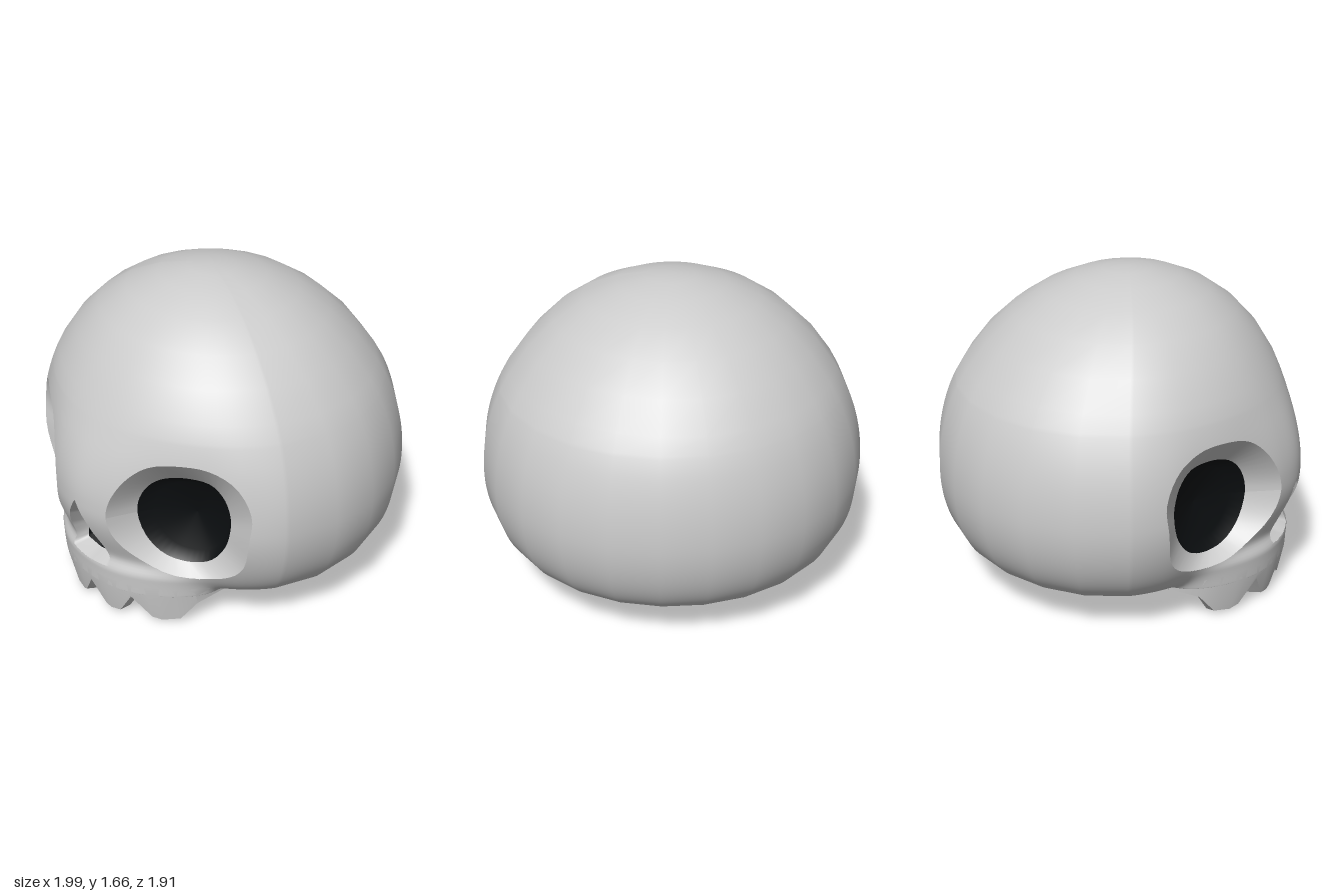
import * as THREE from 'three';
import { mergeVertices, toCreasedNormals } from 'three/addons/utils/BufferGeometryUtils.js';

const BASE = 0.18, MID = 0.64, TOP = 1.66;
const { smoothstep, lerp, clamp, degToRad } = THREE.MathUtils;
const bone = new THREE.MeshStandardMaterial({ color: 0xcccccc });
const boneThin = new THREE.MeshStandardMaterial({ color: 0xcccccc, side: THREE.DoubleSide });
const dark = new THREE.MeshStandardMaterial({ color: 0x0b0e10, side: THREE.DoubleSide });

// Smooth curve through (xs, ys)
function curve(xs, ys, x) {
  const n = xs.length - 1;
  if (x >= xs[n]) return ys[n];
  let i = 0;
  while (x > xs[i + 1]) i++;
  const slope = k => k <= 0 || k >= n ? 0 : (ys[k + 1] - ys[k - 1]) / (xs[k + 1] - xs[k - 1]);
  const h = xs[i + 1] - xs[i], t = (x - xs[i]) / h, s = t * t * (3 - 2 * t);
  return ys[i] * (1 - s) + ys[i + 1] * s + h * t * (1 - t) * ((1 - t) * slope(i) - t * slope(i + 1));
}

// Head radius by heading (0 = front) and height: side profile x plan shape, joined with the jaw
const PLAN = [0, 10, 27, 42, 56, 70, 90, 135, 180];
const FACE = [0.96, 0.945, 0.905, 0.91, 0.96, 0.995, 1, 0.98, 0.96];
const DOME = [0.915, 0.918, 0.93, 0.948, 0.968, 0.985, 1, 0.975, 0.965];
const JAW_AT = [0, 13, 27, 39, 46, 55, 75];
const JAW = [0.885, 0.875, 0.835, 0.785, 0.735, 0.6, 0.3];
function radius(phi, y) {
  let deg = Math.abs(phi) * 180 / Math.PI;
  if (deg > 180) deg = 360 - deg;
  const side = y > MID
    ? Math.sqrt(Math.max(0, 1 - ((y - MID) / (TOP - MID)) ** 2))
    : 0.72 + 0.28 * Math.sqrt(Math.max(0, 1 - ((MID - y) / (MID - BASE)) ** 2));
  const plan = lerp(curve(PLAN, FACE, deg), curve(PLAN, DOME, deg), smoothstep(y, 0.7, 1.25));
  const tuck = 0.05 * (1 - smoothstep(y, 0.25, 0.65)) * Math.max(0, Math.cos(phi)) ** 2;
  const skull = side * plan * (1 - tuck);
  const fade = 1 - smoothstep(y, 0.28, 0.75);
  const jaw = curve(JAW_AT, JAW, deg) * fade;
  return (skull + jaw + Math.hypot(skull - jaw, 0.06 * fade)) / 2;
}
const onHead = (phi, y, s = 1) => {
  const r = radius(phi, y) * s;
  return new THREE.Vector3(r * Math.sin(phi), y, r * Math.cos(phi) + 0.035 * smoothstep(y, 1, TOP));
};
// Depth of the face surface at (x, y)
function faceZ(x, y) {
  let lo = 0.2, hi = 1.1;
  for (let i = 0; i < 30; i++) {
    const z = (lo + hi) / 2;
    if (Math.hypot(x, z) < radius(Math.atan2(x, z), y)) lo = z; else hi = z;
  }
  return lo;
}

// Skin stretched over rows of points
function loft(rows) {
  const n = rows[0].length, index = [];
  for (let j = 0; j < rows.length - 1; j++) for (let i = 0; i < n - 1; i++) {
    const a = j * n + i, d = a + n;
    index.push(a, a + 1, d + 1, a, d + 1, d);
  }
  const g = new THREE.BufferGeometry().setFromPoints(rows.flat());
  g.setIndex(index);
  g.computeVertexNormals();
  return g;
}

// Opening outlines, rim and inner edge
const smoothLoop = pts => new THREE.CatmullRomCurve3(
  pts.map(p => new THREE.Vector3(p[0], p[1], 0)), true).getPoints(48);
const eyeRim = smoothLoop([[0.19, 0.64], [0.21, 0.75], [0.28, 0.88], [0.37, 0.96], [0.5, 0.99], [0.62, 0.98],
  [0.73, 0.91], [0.8, 0.77], [0.8, 0.63], [0.76, 0.45], [0.68, 0.36], [0.52, 0.31], [0.34, 0.36], [0.23, 0.48]]);
const eyeInner = smoothLoop([[0.218, 0.61], [0.235, 0.71], [0.285, 0.79], [0.35, 0.835], [0.45, 0.857], [0.55, 0.845],
  [0.61, 0.78], [0.64, 0.68], [0.64, 0.6], [0.615, 0.49], [0.55, 0.4], [0.455, 0.367], [0.345, 0.385], [0.26, 0.47]]);

function straightLoop(half) {
  const all = [...half, ...half.slice(1, -1).reverse().map(p => [-p[0], p[1]])], out = [];
  all.forEach((p, i) => {
    const q = all[(i + 1) % all.length];
    for (let k = 0; k < 6; k++) out.push(new THREE.Vector3(lerp(p[0], q[0], k / 6), lerp(p[1], q[1], k / 6), 0));
  });
  return [...out, out[0].clone()];
}
const noseRim = straightLoop([[0, 0.68], [0.065, 0.57], [0.115, 0.45], [0.145, 0.3], [0, 0.295]]);
const noseInner = straightLoop([[0, 0.59], [0.065, 0.53], [0.09, 0.44], [0.1, 0.335], [0, 0.32]]);
const mirror = loop => loop.map(p => new THREE.Vector3(-p.x, p.y, p.z));

const openings = [
  { name: 'leftEye', rim: eyeRim, inner: eyeInner },
  { name: 'rightEye', rim: mirror(eyeRim), inner: mirror(eyeInner) },
  { name: 'nose', rim: noseRim, inner: noseInner },
];
for (const o of openings) {
  o.rim = o.rim.map(p => new THREE.Vector3(p.x, p.y, faceZ(p.x, p.y)));
  o.inner.forEach(p => { p.z = o.name === 'nose' ? 0.81 : 0.74 - (Math.abs(p.x) - 0.22) * 0.55; });
}

// Signed distance to an outline in the front plane, positive outside
function outside(p, loop) {
  let best = Infinity, inside = false;
  for (let i = 0; i < loop.length - 1; i++) {
    const a = loop[i], b = loop[i + 1], dx = b.x - a.x, dy = b.y - a.y;
    const t = clamp(((p.x - a.x) * dx + (p.y - a.y) * dy) / (dx * dx + dy * dy || 1), 0, 1);
    best = Math.min(best, Math.hypot(p.x - a.x - t * dx, p.y - a.y - t * dy));
    if ((a.y > p.y) !== (b.y > p.y) && p.x < a.x + (p.y - a.y) / dy * dx) inside = !inside;
  }
  return inside ? -best : best;
}

// Headings: fine across the face, 15 degree facets round the back
const headings = [];
for (let d = -172.5; d < -70; d += 15) headings.push(degToRad(d));
for (let d = -67.5; d <= 67.5; d += 1.25) headings.push(degToRad(d));
for (let d = 82.5; d < 190; d += 15) headings.push(degToRad(d));

// Heights: fine up to the brow, broad facets over the dome
const heights = [];
for (let k = 36; k > 0; k--) heights.push(MID - (MID - BASE) * Math.sin(degToRad(k * 2.5)));
for (let d = 0; d <= 27; d++) heights.push(MID + (TOP - MID) * Math.sin(degToRad(d)));
for (const d of [32, 42, 52.5, 63, 73.5, 82.5, 90]) heights.push(MID + (TOP - MID) * Math.sin(degToRad(d)));

// Cranium grid trimmed at the openings
function craniumGeometry() {
  const pts = [];
  const grid = heights.map(y => headings.map(phi => {
    const p = onHead(phi, y);
    return { p, f: p.z < 0 || y > 1.1 ? 1 : Math.min(...openings.map(o => outside(p, o.rim))) + 0.002 };
  }));
  const addTrimmed = tri => {
    const poly = [];
    tri.forEach((a, i) => {
      const b = tri[(i + 1) % 3];
      if (a.f >= 0) poly.push(a.p);
      if ((a.f >= 0) !== (b.f >= 0)) poly.push(a.p.clone().lerp(b.p, a.f / (a.f - b.f)));
    });
    for (let i = 1; i < poly.length - 1; i++) pts.push(poly[0], poly[i], poly[i + 1]);
  };
  for (let j = 0; j < heights.length - 1; j++) for (let i = 0; i < headings.length - 1; i++) {
    const a = grid[j][i], b = grid[j][i + 1], c = grid[j + 1][i + 1], d = grid[j + 1][i];
    addTrimmed([a, b, c]);
    addTrimmed([a, c, d]);
  }
  const g = mergeVertices(new THREE.BufferGeometry().setFromPoints(pts), 1e-4);
  g.computeVertexNormals();
  return g;
}

// Upper teeth: a curved band with a zigzag lower edge, thinning out at both ends
function teethGeometry() {
  const half = [[0, 0.15], [0.08, 0.03], [0.11, 0.015], [0.17, 0.025], [0.25, 0.15], [0.33, 0.03],
    [0.37, 0.015], [0.44, 0.03], [0.5, 0.13], [0.55, 0.175]];
  const edge = [...half.slice(1).reverse().map(p => [-p[0], p[1]]), ...half];
  const rows = [[], [], [], [], []];
  for (const [x, y] of edge) {
    const z = faceZ(x, BASE), drop = (BASE - y) / BASE;
    const thick = 1 - smoothstep(Math.abs(x), 0.42, 0.55);
    const s = 1 - 0.13 * thick, low = Math.max(0, y - 0.03 * thick);
    rows[0].push(new THREE.Vector3(x, BASE + 0.05, faceZ(x, BASE + 0.05) + 0.001));
    rows[1].push(new THREE.Vector3(x, BASE, z + 0.001));
    rows[2].push(new THREE.Vector3(x, y, z - 0.035 * drop));
    rows[3].push(new THREE.Vector3(x * s, low, z * s));
    rows[4].push(new THREE.Vector3(x * (s - 0.03), BASE, z * (s - 0.04)));
  }
  return toCreasedNormals(loft(rows.reverse()), 0.6);
}

export function createModel() {
  const model = new THREE.Group();
  model.name = 'skull';
  const add = (name, geometry, material) => {
    const mesh = new THREE.Mesh(geometry, material);
    mesh.name = name;
    model.add(mesh);
  };
  add('cranium', craniumGeometry(), bone);

  // Flat underside
  const ring = s => headings.map(phi => onHead(phi, BASE, s));
  add('underside', loft([ring(0), ring(0.5), ring(1)]), bone);
  add('teeth', teethGeometry(), boneThin);

  // Bevelled socket walls and dark hollows
  for (const { name, rim, inner } of openings) {
    add(name + 'Socket', loft([rim, inner]), boneThin);
    const c = inner.reduce((s, p) => s.add(p), new THREE.Vector3()).divideScalar(inner.length);
    const hollow = (s, depth) => inner.map(p => {
      const q = c.clone().lerp(p, s);
      q.z -= depth;
      return q;
    });
    add(name + 'Hollow', loft([inner, hollow(0.8, 0.05), hollow(0, 0.08)]), dark);
  }
  return model;
}
